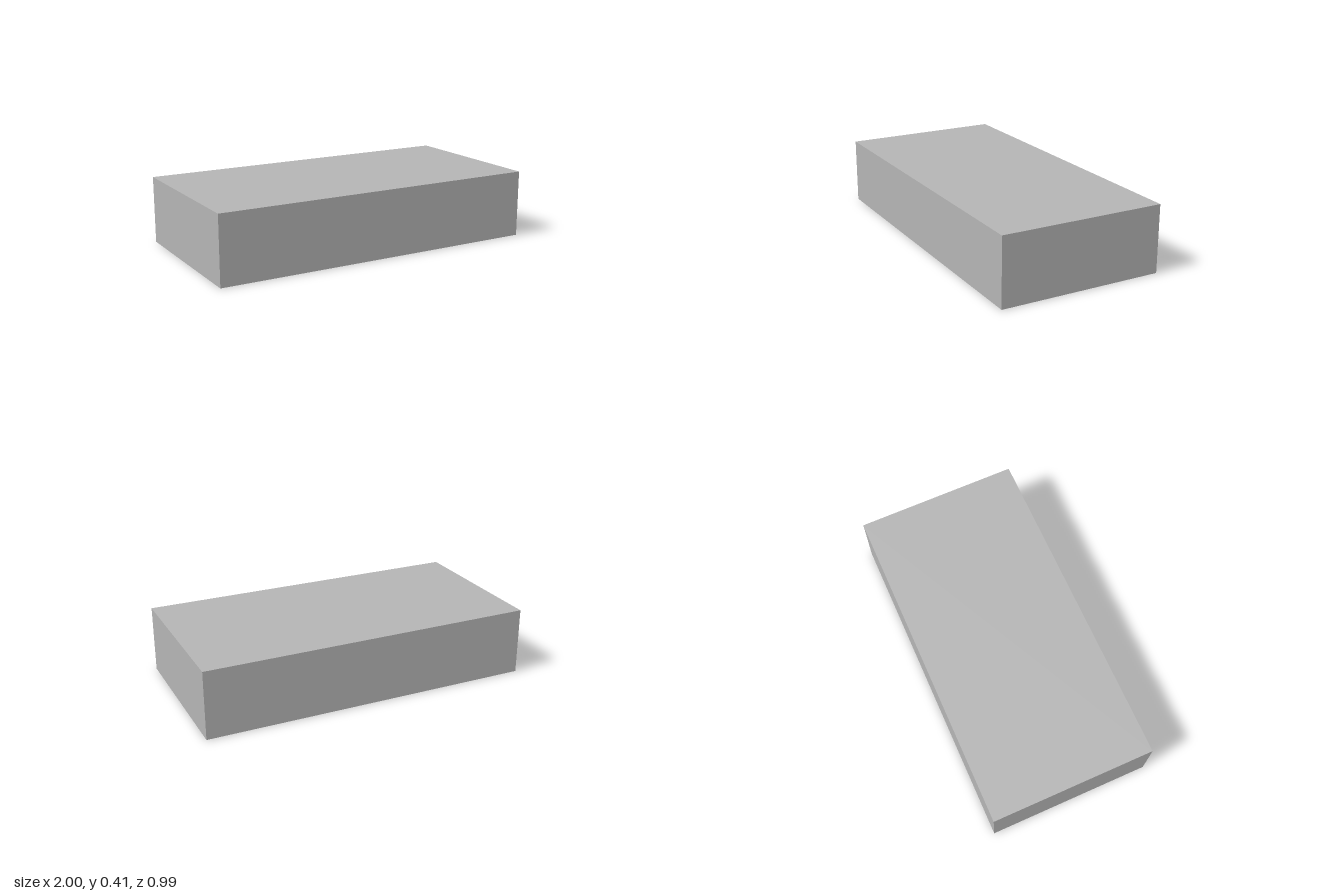
import * as THREE from 'three';

const LENGTH = 2, DEPTH = 0.985, HEIGHT = 0.405;
const WALL = 0.152, LID = 0.127, PEG_RADIUS = 0.2;

export function createModel() {
  const model = new THREE.Group();
  model.name = 'smoothTile';
  const grey = new THREE.MeshStandardMaterial({ color: 0xb4b4b4, flatShading: true });
  grey.name = 'grey';

  const add = (name, geometry, y) => {
    const mesh = new THREE.Mesh(geometry, grey);
    mesh.name = name;
    mesh.position.y = y;
    model.add(mesh);
  };
  const rectangle = (Path, w, d) => new Path([
    new THREE.Vector2(-w / 2, -d / 2), new THREE.Vector2(w / 2, -d / 2),
    new THREE.Vector2(w / 2, d / 2), new THREE.Vector2(-w / 2, d / 2),
  ]);
  const cavity = HEIGHT - LID;

  // Rectangular skirt, open underneath
  const outline = rectangle(THREE.Shape, LENGTH, DEPTH);
  outline.holes.push(rectangle(THREE.Path, LENGTH - 2 * WALL, DEPTH - 2 * WALL));
  const skirt = new THREE.ExtrudeGeometry(outline, { depth: cavity, bevelEnabled: false });
  skirt.rotateX(-Math.PI / 2);
  add('skirtWalls', skirt, 0);

  // Flat lid closing the cavity
  add('topPlate', new THREE.BoxGeometry(LENGTH, LID, DEPTH), cavity + LID / 2);

  // Eight-sided peg hanging from the lid, with flats facing the walls
  add('centrePeg', new THREE.CylinderGeometry(PEG_RADIUS, PEG_RADIUS, cavity, 8, 1, false, Math.PI / 8), cavity / 2);

  return model;
}
